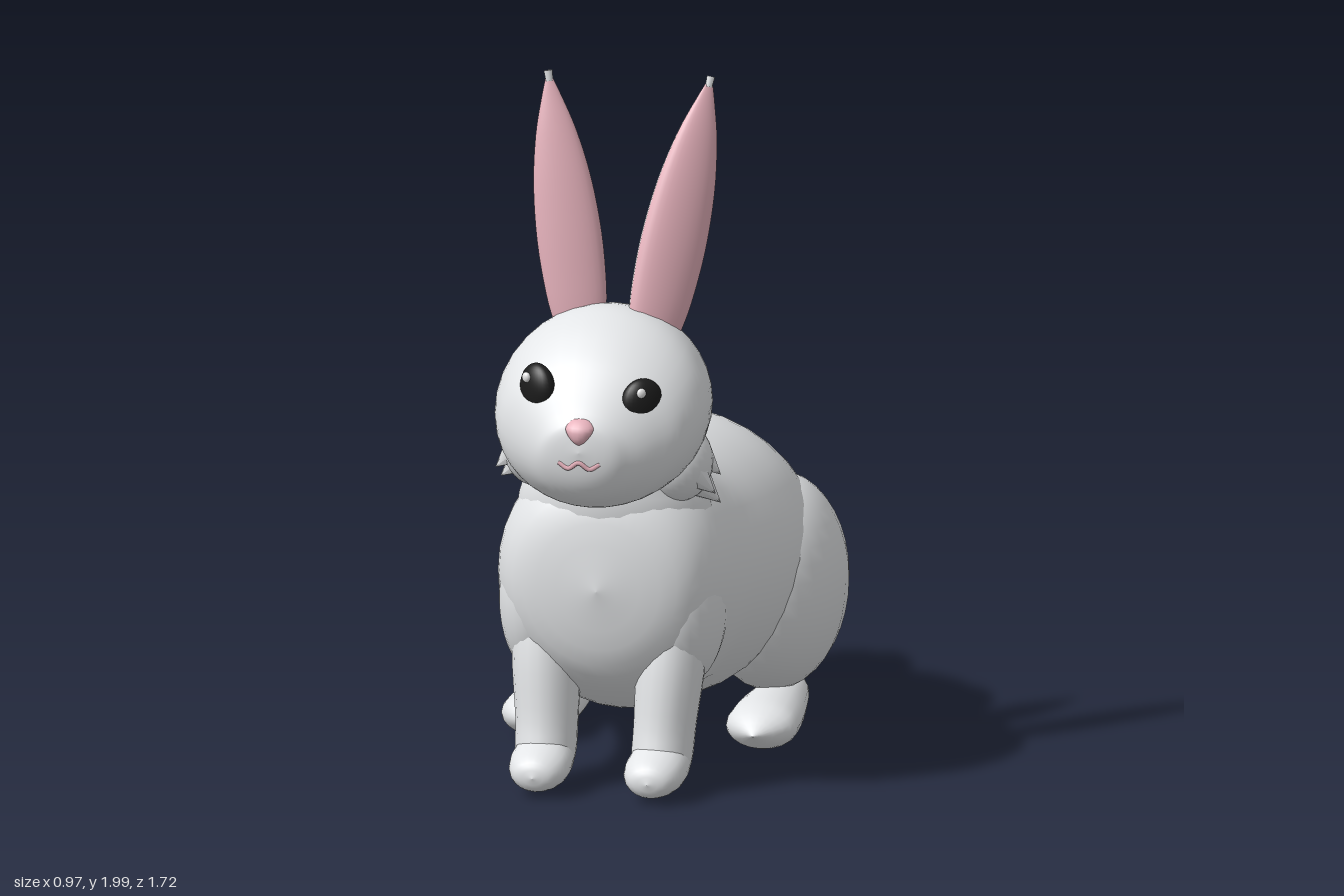
import * as THREE from 'three';

const mat = (name, color) => {
  const m = new THREE.MeshStandardMaterial({ color });
  m.name = name;
  return m;
};

// Smooth skin over elliptical sections [centre x, y, z, radius x, other radius], rising along axis 'z' or 'y'
function loft(sections, axis, sides = 28, start = 0, sweep = Math.PI * 2, rows = 4) {
  const centres = new THREE.CatmullRomCurve3(sections.map(s => new THREE.Vector3(s[0], s[1], s[2])), false, 'catmullrom', 0.5);
  const radii = new THREE.CatmullRomCurve3(sections.map(s => new THREE.Vector3(s[3], s[4], 0)), false, 'catmullrom', 0.5);
  const closed = sweep > 6.28;
  const cols = closed ? sides : sides + 1;
  const steps = (sections.length - 1) * rows;
  const pos = [], idx = [];
  for (let i = 0; i <= steps; i++) {
    const c = centres.getPoint(i / steps), r = radii.getPoint(i / steps);
    for (let j = 0; j < cols; j++) {
      const a = start + sweep * j / sides;
      const u = Math.cos(a) * Math.max(r.x, 0), v = Math.sin(a) * Math.max(r.y, 0);
      if (axis === 'z') pos.push(c.x + u, c.y + v, c.z);
      else pos.push(c.x + u, c.y, c.z - v);
    }
  }
  for (let i = 0; i < steps; i++) {
    for (let j = 0; j < sides; j++) {
      const a = i * cols + j, b = i * cols + (j + 1) % cols;
      idx.push(a, b, a + cols, b, b + cols, a + cols);
    }
  }
  const g = new THREE.BufferGeometry();
  g.setAttribute('position', new THREE.Float32BufferAttribute(pos, 3));
  g.setIndex(idx);
  g.computeVertexNormals();
  return g;
}

export function createModel() {
  const root = new THREE.Group();
  root.name = 'rabbit';
  const fur = mat('white fur', 0xe5e7e9);
  const pink = mat('pink skin', 0xebb6c0);
  const black = mat('eye black', 0x1c1c1c);
  const shine = mat('eye shine', 0xf4f4f4);

  const add = (name, geo, material, parent = root) => {
    const m = new THREE.Mesh(geo, material);
    m.name = name;
    parent.add(m);
    return m;
  };
  const ball = (name, p, r, material, yaw = 0) => {
    const m = add(name, new THREE.SphereGeometry(1, 28, 20), material);
    m.position.set(...p);
    m.scale.set(...r);
    m.rotation.y = yaw;
  };
  // Small pointed lock of fur from p towards dir
  const tuft = (name, p, dir, radius, length) => {
    const m = add(name, new THREE.ConeGeometry(radius, length, 8), fur);
    const d = new THREE.Vector3(...dir).normalize();
    m.quaternion.setFromUnitVectors(new THREE.Vector3(0, 1, 0), d);
    m.position.set(...p).addScaledVector(d, length / 2);
  };

  // Torso, rump to chest
  add('body', loft([
    [0, 0.5, -0.612, 0, 0], [0, 0.5, -0.59, 0.19, 0.16], [0, 0.475, -0.52, 0.315, 0.29],
    [0, 0.495, -0.38, 0.39, 0.36], [0, 0.53, -0.2, 0.415, 0.39], [0, 0.535, 0, 0.4, 0.4],
    [0, 0.555, 0.2, 0.355, 0.38], [0, 0.575, 0.35, 0.338, 0.385], [0, 0.6, 0.5, 0.31, 0.34],
    [0, 0.6, 0.605, 0.22, 0.23], [0, 0.59, 0.645, 0, 0],
  ], 'z', 36), fur);
  add('neck', loft([
    [0, 0.55, 0.4, 0.27, 0.16], [0, 0.78, 0.415, 0.275, 0.2],
    [0, 0.9, 0.41, 0.245, 0.2], [0, 1.04, 0.42, 0.23, 0.18],
  ], 'y'), fur);

  // Head with tapering snout
  add('head', loft([
    [0, 1.13, 0.208, 0, 0], [0, 1.13, 0.23, 0.12, 0.11], [0, 1.125, 0.28, 0.2, 0.175],
    [0, 1.1, 0.38, 0.265, 0.25], [0, 1.105, 0.5, 0.293, 0.267], [0, 1.09, 0.6, 0.297, 0.253],
    [0, 1.06, 0.7, 0.265, 0.215], [0, 1.038, 0.76, 0.205, 0.172], [0, 1.02, 0.81, 0.14, 0.12],
    [0, 1.03, 0.84, 0.09, 0.075], [0, 1.035, 0.852, 0, 0],
  ], 'z', 36), fur);

  // Nose and mouth
  add('nose', loft([
    [0, 1.053, 0.843, 0, 0], [0, 1.07, 0.842, 0.022, 0.02],
    [0, 1.1, 0.835, 0.041, 0.027], [0, 1.122, 0.82, 0.026, 0.02], [0, 1.128, 0.815, 0, 0],
  ], 'y', 16), pink);
  const lips = [[-0.058, 1.005, 0.841], [-0.03, 0.99, 0.846], [0, 1.008, 0.851], [0.03, 0.99, 0.846], [0.058, 1.005, 0.841]];
  add('mouth', new THREE.TubeGeometry(
    new THREE.CatmullRomCurve3(lips.map(p => new THREE.Vector3(...p))), 24, 0.007, 6), pink);

  // Eyes, slightly tilted across the face
  for (const [side, x, y] of [['right', -0.145, 1.182], ['left', 0.152, 1.155]]) {
    const s = Math.sign(x);
    ball(side + 'Eye', [x, y, 0.728], [0.064, 0.072, 0.036], black, s * 0.65);
    ball(side + 'EyeShine', [s < 0 ? -0.172 : 0.156, y + 0.036, s < 0 ? 0.752 : 0.757], [0.014, 0.015, 0.01], shine, s * 0.65);
    ball(side + 'EyeGlint', [x + s * 0.03, y - 0.034, 0.742], [0.007, 0.007, 0.006], shine, s * 0.65);
  }

  // Ears: white back shell, rounded pink front
  const ear = (name, base, tip, yaw, width) => {
    const g = new THREE.Group();
    g.name = name;
    const dir = new THREE.Vector3(...tip).sub(new THREE.Vector3(...base));
    const len = dir.length();
    const shape = [[-0.04, 0.07], [0.1, 0.084], [0.32, 0.09], [0.55, 0.08], [0.75, 0.056], [0.9, 0.026], [0.965, 0.011], [1, 0.012]];
    const half = depth => shape.map(([t, w]) => [0, t * len, 0, w * width, w * depth]);
    add(name + 'Back', loft(half(0.72), 'y', 14, 0, Math.PI), fur, g);
    add(name + 'Inner', loft(half(0.42).slice(0, 7), 'y', 14, Math.PI, Math.PI), pink, g);
    const nub = add(name + 'Tip', new THREE.CylinderGeometry(0.012, 0.01, 0.03, 8), fur, g);
    nub.position.y = len - 0.015;
    g.position.set(...base);
    g.quaternion.setFromUnitVectors(new THREE.Vector3(0, 1, 0), dir.normalize())
      .multiply(new THREE.Quaternion().setFromAxisAngle(new THREE.Vector3(0, 1, 0), yaw));
    root.add(g);
  };
  ear('rightEar', [-0.09, 1.33, 0.465], [-0.2, 2.0, 0.38], 0.25, 1);
  ear('leftEar', [0.125, 1.32, 0.46], [0.235, 1.98, 0.265], 0.55, 1.06);

  // Limbs, mirrored
  for (const [side, s] of [['left', 1], ['right', -1]]) {
    ball(side + 'Haunch', [s * 0.285, 0.42, -0.27], [0.202, 0.305, 0.3], fur);
    ball(side + 'Shoulder', [s * 0.2, 0.52, 0.44], [0.12, 0.23, 0.15], fur);
    add(side + 'FrontLeg', loft([
      [s * 0.165, 0.03, 0.565, 0.05, 0.06], [s * 0.165, 0.09, 0.555, 0.082, 0.095], [s * 0.168, 0.2, 0.525, 0.087, 0.098],
      [s * 0.178, 0.38, 0.49, 0.095, 0.105], [s * 0.185, 0.55, 0.46, 0.08, 0.09],
    ], 'y', 20), fur);
    add(side + 'FrontPaw', loft([
      [s * 0.165, 0.1, 0.46, 0, 0], [s * 0.165, 0.095, 0.5, 0.065, 0.06], [s * 0.165, 0.095, 0.57, 0.084, 0.076],
      [s * 0.163, 0.08, 0.65, 0.083, 0.062], [s * 0.163, 0.07, 0.705, 0.055, 0.04], [s * 0.163, 0.068, 0.722, 0, 0],
    ], 'z', 20), fur);
    add(side + 'BackFoot', loft([
      [s * 0.3, 0.085, -0.445, 0, 0], [s * 0.3, 0.083, -0.4, 0.05, 0.045], [s * 0.305, 0.08, -0.25, 0.08, 0.066],
      [s * 0.315, 0.078, -0.05, 0.1, 0.07], [s * 0.32, 0.075, 0.05, 0.09, 0.055], [s * 0.32, 0.072, 0.128, 0, 0],
    ], 'z', 20), fur);
    // Jowl with ragged cheek fur
    const drop = s > 0 ? 0.04 : 0;
    ball(side + 'Jowl', [s * 0.205, 0.96 - drop / 2, 0.5], [0.09, 0.11, 0.1], fur);
    for (let i = 0; i < 3; i++) {
      tuft(side + 'CheekTuft', [s * 0.245, 1.0 - drop - i * 0.04, 0.47 + (i % 2) * 0.06], [s * 0.75, -0.65, 0], 0.05, 0.09);
    }
  }

  // Tail with a few pointed locks
  add('tail', loft([
    [0, 0.49, -0.845, 0, 0], [0, 0.495, -0.825, 0.09, 0.085], [0, 0.505, -0.78, 0.135, 0.13],
    [0, 0.51, -0.71, 0.16, 0.158], [0, 0.515, -0.62, 0.155, 0.152], [0, 0.51, -0.54, 0.12, 0.1],
  ], 'z', 14, 0, Math.PI * 2, 2), fur);
  tuft('tailTuft', [-0.02, 0.49, -0.765], [-0.15, -0.3, -1], 0.07, 0.1);
  tuft('tailTuft', [0.05, 0.54, -0.76], [0.5, 0.3, -1], 0.07, 0.09);
  return root;
}
